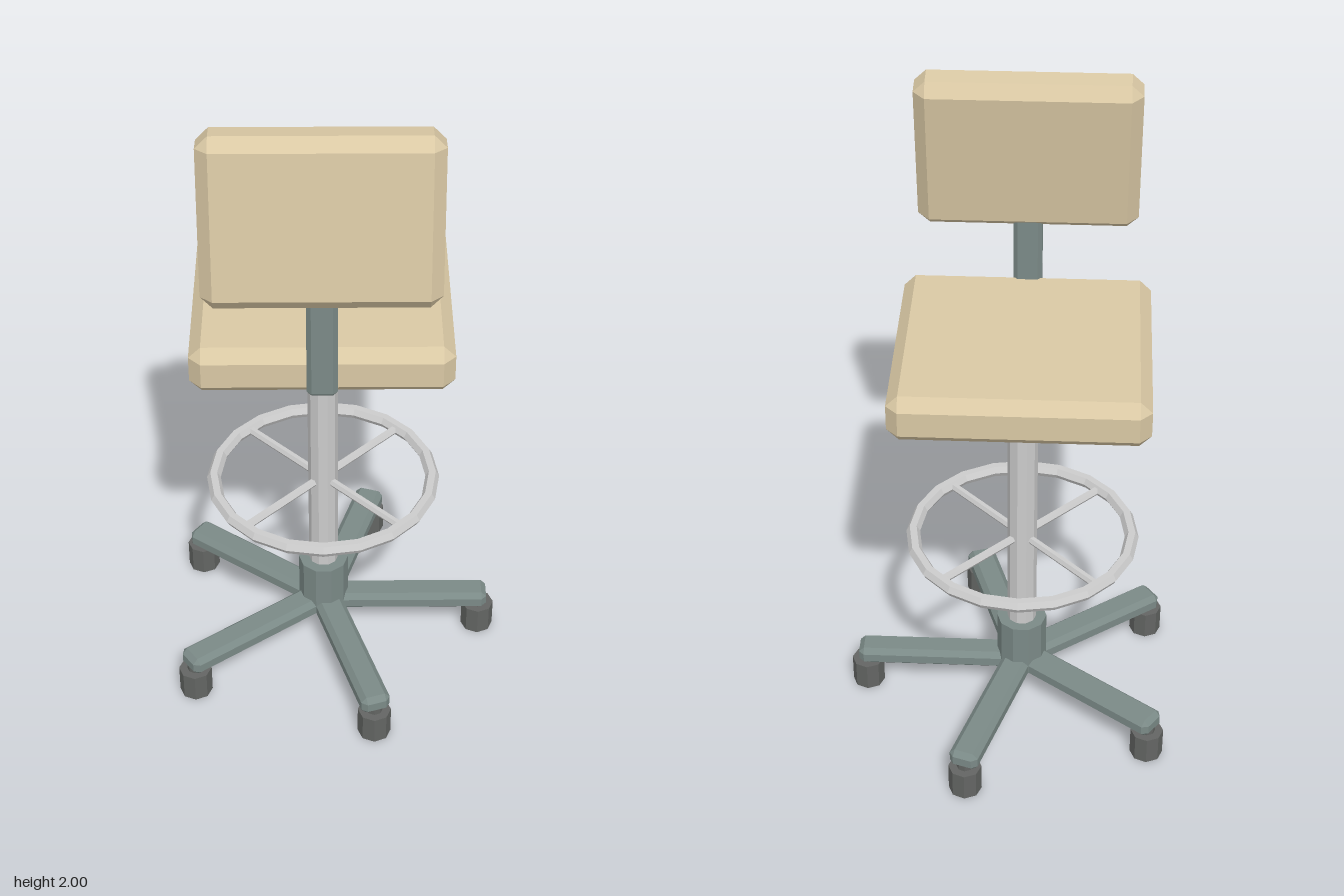
import * as THREE from 'three';
import { ConvexGeometry } from 'three/addons/geometries/ConvexGeometry.js';

const mat = (color) => new THREE.MeshStandardMaterial({ color, flatShading: true });

// Box with every edge cut at 45 degrees and triangular corners
function chamferBox(w, h, d, c) {
  const pts = [];
  for (const x of [-w / 2, w / 2]) for (const y of [-h / 2, h / 2]) for (const z of [-d / 2, d / 2]) {
    const ix = x - Math.sign(x) * c, iy = y - Math.sign(y) * c, iz = z - Math.sign(z) * c;
    pts.push(new THREE.Vector3(x, iy, iz), new THREE.Vector3(ix, y, iz), new THREE.Vector3(ix, iy, z));
  }
  return new ConvexGeometry(pts);
}

export function createModel() {
  const model = new THREE.Group();
  model.name = 'drafting chair';
  const chair = new THREE.Group();
  chair.name = 'chair';
  chair.position.x = -0.05;
  model.add(chair);

  const fabric = mat(0xd9c8a4), frame = mat(0x7b8a87), chrome = mat(0xc4c6c2), rubber = mat(0x636563);

  const add = (name, geometry, material, x, y, z, parent = chair) => {
    const mesh = new THREE.Mesh(geometry, material);
    mesh.name = name;
    mesh.position.set(x, y, z);
    parent.add(mesh);
    return mesh;
  };
  // Upright prism with a corner pointing along +x
  const prism = (r, y0, y1, sides) =>
    new THREE.CylinderGeometry(r, r, y1 - y0, sides).rotateY(Math.PI / 2).translate(0, (y0 + y1) / 2, 0);

  // Upholstery
  add('seat', chamferBox(0.73, 0.145, 0.69, 0.034), fabric, 0, 1.262, 0);
  add('backrest', chamferBox(0.64, 0.487, 0.127, 0.034), fabric, 0, 1.755, 0.322).rotation.x = -0.138;

  // Seat plate and back support
  add('seatPlate', chamferBox(0.4, 0.055, 0.4, 0.015), frame, 0, 1.166, 0);
  add('backSupport', chamferBox(0.085, 0.4, 0.065, 0.013), frame, 0, 1.403, 0.335);

  // Column and hub
  add('column', prism(0.045, 0.2, 1.15, 10), chrome, 0, 0, 0);
  add('hub', prism(0.077, 0.11, 0.29, 10), frame, 0, 0, 0);

  // Foot ring with two crossing pairs of spokes
  const footRest = new THREE.Group();
  footRest.name = 'footRest';
  footRest.position.y = 0.615;
  chair.add(footRest);
  add('footRing', new THREE.TorusGeometry(0.332, 0.021, 6, 20).rotateX(Math.PI / 2), chrome, 0, 0, 0, footRest);
  for (let i = 0; i < 2; i++) {
    const spoke = new THREE.CylinderGeometry(0.013, 0.013, 0.66, 6).rotateZ(Math.PI / 2);
    add('footRingSpoke', spoke, chrome, 0, 0, 0, footRest).rotation.y = Math.PI / 4 + i * Math.PI / 2;
  }

  // Five-armed base with casters
  for (let i = 0; i < 5; i++) {
    const a = (i * Math.PI * 2) / 5;
    const arm = chamferBox(0.515, 0.06, 0.09, 0.016).translate(0.2575, 0, 0);
    add('baseArm', arm, frame, 0, 0.125, 0).rotation.y = a;
    add('caster', prism(0.05, 0, 0.09, 8), rubber, 0.49 * Math.cos(a), 0, -0.49 * Math.sin(a));
    add('casterStem', prism(0.025, 0.085, 0.11, 8), rubber, 0.49 * Math.cos(a), 0, -0.49 * Math.sin(a));
  }
  return model;
}
